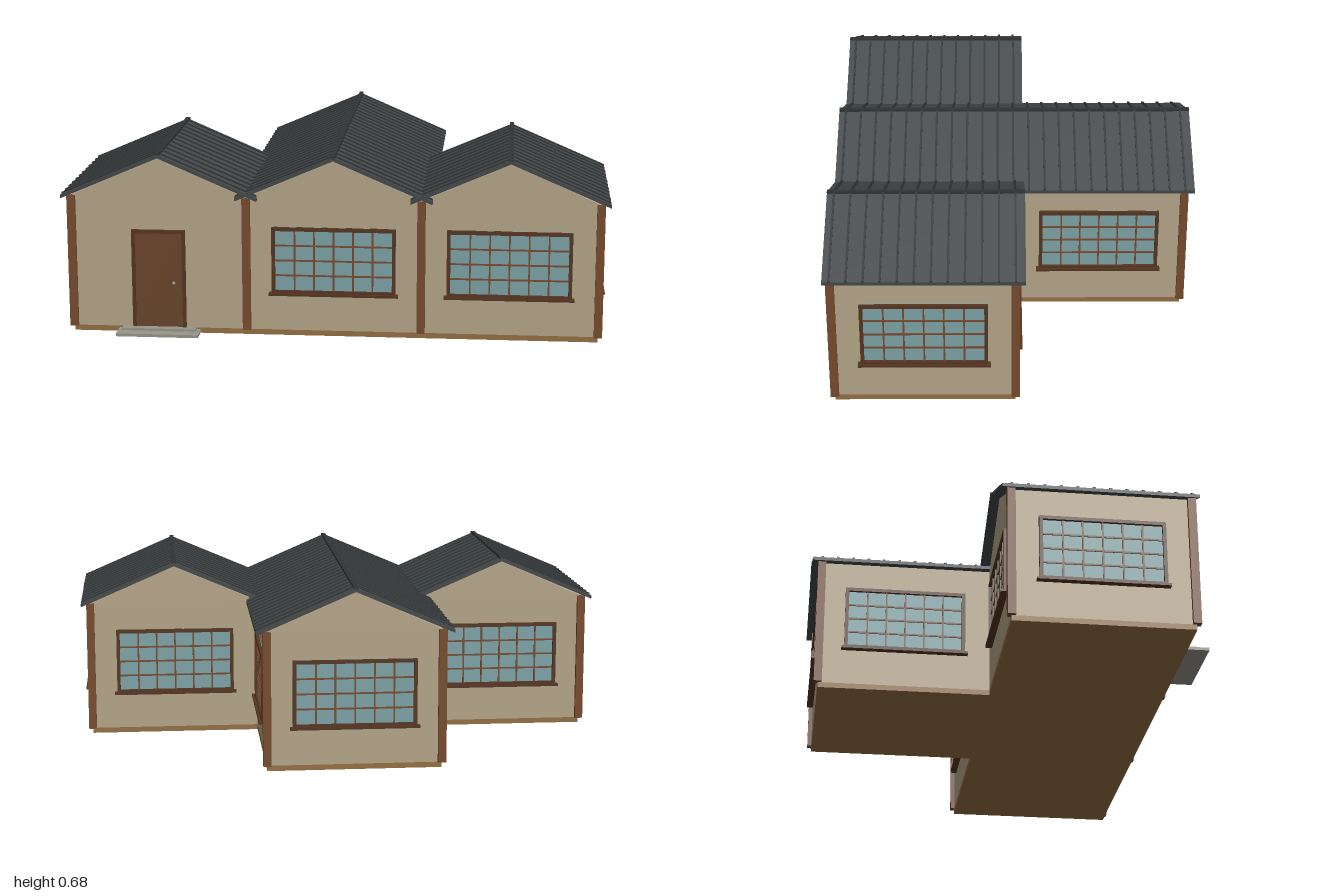
import * as THREE from 'three';

const mat = (name, color) => {
  const m = new THREE.MeshStandardMaterial({ color });
  m.name = name;
  return m;
};

export function createModel() {
  const M = {
    wall: mat('plaster', 0xb6a689),
    timber: mat('timber', 0x784b2d),
    frame: mat('dark timber', 0x553520),
    base: mat('floor wood', 0x967043),
    glass: mat('glass', 0x7da4a8),
    roof: mat('roof sheet', 0x43484a),
    rib: mat('roof rib', 0x303435),
    door: mat('door wood', 0x6a452c),
    stone: mat('stone', 0x98968b),
    metal: mat('metal', 0x8f8a80),
  };
  const house = new THREE.Group();
  house.name = 'house';

  const add = (parent, name, geo, material, x = 0, y = 0, z = 0) => {
    const m = new THREE.Mesh(geo, material);
    m.name = name;
    m.position.set(x, y, z);
    parent.add(m);
    return m;
  };
  // Box given by its limits on each axis
  const box = (parent, name, material, x0, x1, y0, y1, z0, z1) =>
    add(parent, name, new THREE.BoxGeometry(x1 - x0, y1 - y0, z1 - z0), material,
      (x0 + x1) / 2, (y0 + y1) / 2, (z0 + z1) / 2);
  // Polygon in xy extruded along z
  const prism = (pts, depth) => new THREE.ExtrudeGeometry(
    new THREE.Shape(pts.map(p => new THREE.Vector2(...p))), { depth, bevelEnabled: false });

  const OUT = 0.965, BAY = 0.32, FRONT = 0.62, MID = -0.03, BACK = -0.67;

  // Floor and walls: a wide front block plus a central rear block
  for (const [x, z0, z1] of [[OUT, MID, FRONT], [BAY, BACK, MID]]) {
    box(house, 'floorBase', M.base, -x, x, 0, 0.02, z0, z1);
    box(house, 'walls', M.wall, -x, x, 0.02, 0.515, z0, z1);
  }

  // Corner and bay posts
  const posts = [[OUT, FRONT], [BAY, FRONT], [OUT, MID], [BAY, BACK]];
  for (const s of [-1, 1]) for (const [x, z] of posts) {
    box(house, 'post', M.timber, s * x - 0.015, s * x + 0.015, 0.02, 0.515, z - 0.015, z + 0.015);
  }

  // Gabled roof over each bay, with standing ribs and a ridge cap
  const EAVE = 0.36, RIDGE = 0.675, EDGE = 0.52;
  const chevron = (lo, hi, depth) => prism([
    [-EAVE, EDGE + lo], [0, RIDGE + lo], [EAVE, EDGE + lo],
    [EAVE, EDGE + hi], [0, RIDGE + hi], [-EAVE, EDGE + hi]], depth);
  for (const [cx, z0, ribs] of [[-0.64, MID, 12], [0, BACK, 23], [0.64, MID, 12]]) {
    const bay = new THREE.Group();
    bay.name = 'roofBay';
    bay.position.x = cx;
    const length = FRONT - z0;
    add(bay, 'gable', prism([[-BAY, 0.515], [BAY, 0.515], [0, 0.66]], length), M.wall, 0, 0, z0);
    const r0 = z0 - 0.035, r1 = FRONT + 0.025;
    add(bay, 'roofSheet', chevron(-0.013, 0, r1 - r0), M.roof, 0, 0, r0);
    const ribGeo = chevron(-0.003, 0.005, 0.008);
    for (let i = 0; i < ribs; i++) {
      add(bay, 'roofRib', ribGeo, M.rib, 0, 0, z0 - 0.004 + length * i / (ribs - 1));
    }
    box(bay, 'ridgeCap', M.rib, -0.008, 0.008, 0.668, 0.681, r0, r1);
    house.add(bay);
  }

  // Window facing +z, centred on its origin, 6 by 4 panes
  const W = 0.227, H = 0.125, T = 0.013;
  const makeWindow = (x, z, turn) => {
    const w = new THREE.Group();
    w.name = 'window';
    box(w, 'glass', M.glass, -W, W, -H, H, 0, 0.004);
    for (const s of [-1, 1]) {
      const a = s * (W - T / 2), b = s * (H - T / 2);
      box(w, 'frameSide', M.frame, a - T / 2, a + T / 2, -H, H, 0, 0.015);
      box(w, 'frameRail', M.frame, -W + T, W - T, b - T / 2, b + T / 2, 0, 0.015);
    }
    for (let i = 1; i < 6; i++) {
      const c = (W - T) * (i / 3 - 1);
      box(w, 'mullion', M.timber, c - 0.003, c + 0.003, -H + T, H - T, 0, 0.009);
    }
    for (let j = 1; j < 4; j++) {
      const c = (H - T) * (j / 2 - 1);
      box(w, 'glazingBar', M.timber, -W + T, W - T, c - 0.003, c + 0.003, 0, 0.008);
    }
    box(w, 'sill', M.frame, -W - 0.01, W + 0.01, -H - 0.005, -H + 0.004, 0, 0.025);
    w.position.set(x, 0.285, z);
    w.rotation.y = turn;
    house.add(w);
  };
  for (const x of [0, 0.64]) makeWindow(x, FRONT, 0);
  makeWindow(0, BACK, Math.PI);
  for (const s of [-1, 1]) {
    makeWindow(s * 0.64, MID, Math.PI);
    makeWindow(s * OUT, 0.295, s * Math.PI / 2);
    makeWindow(s * BAY, -0.35, s * Math.PI / 2);
  }

  // Front door with frame, knob and steps
  const door = new THREE.Group();
  door.name = 'frontDoor';
  door.position.set(-0.645, 0, FRONT);
  box(door, 'doorLeaf', M.door, -0.088, 0.088, 0.022, 0.38, 0, 0.007);
  for (const s of [-1, 1]) {
    box(door, 'doorJamb', M.frame, s * 0.093 - 0.006, s * 0.093 + 0.006, 0.022, 0.39, 0, 0.014);
  }
  box(door, 'doorHead', M.frame, -0.087, 0.087, 0.378, 0.39, 0, 0.014);
  add(door, 'doorKnob', new THREE.SphereGeometry(0.007, 12, 8), M.metal, 0.055, 0.19, 0.012);
  box(door, 'lowerStep', M.stone, -0.152, 0.152, 0.003, 0.014, 0, 0.08);
  box(door, 'upperStep', M.stone, -0.137, 0.137, 0.014, 0.023, 0, 0.037);
  house.add(door);

  return house;
}
